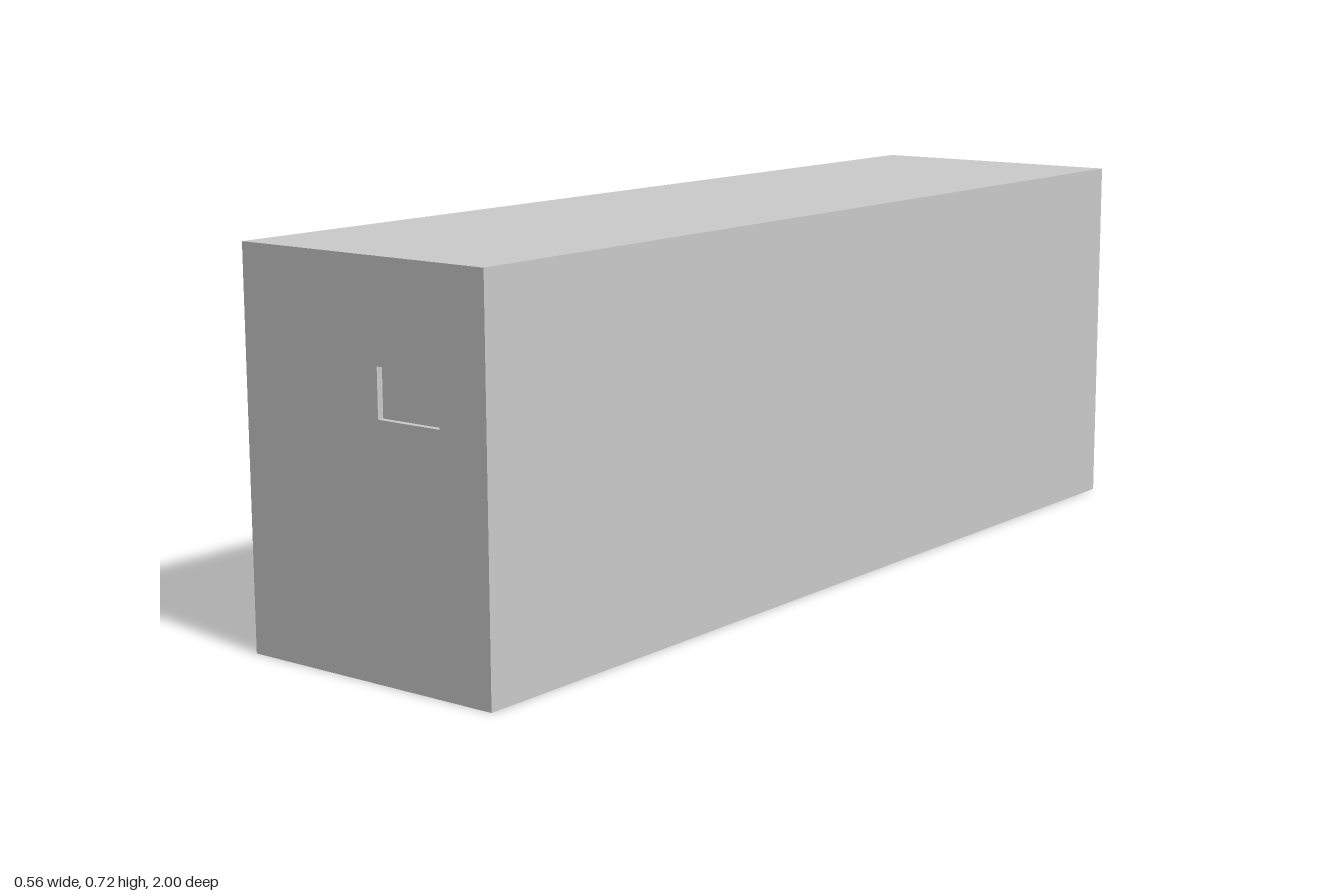
import * as THREE from 'three';

const material = new THREE.MeshStandardMaterial({ color: 0xcccccc, side: THREE.DoubleSide, flatShading: true });

// Main dimensions
const X0 = -0.267, X1 = 0.281, Z0 = -1, Z1 = 1, H = 0.72, T = 0.025;
const IX0 = X0 + T, IX1 = X1 - T, IZ0 = Z0 + T, IZ1 = Z1 - T, IH = H - T;
const PART0 = 0.5, PART1 = 0.525; // partition faces
const DOOR = [0.227, 0.45, 0.52]; // along z, height
const INNER_DOOR = [-0.105, 0.105, 0.52]; // along x, height
const WINDOW = [0.035, 0.188, 0.443, 0.547]; // x0, x1, y0, y1

const poly = (pts) => new THREE.Shape(pts.map(([x, y]) => new THREE.Vector2(x, y)));
const rect = (u0, u1, y0, y1) => poly([[u0, y0], [u1, y0], [u1, y1], [u0, y1]]);

// Wall elevation with an optional doorway notch
function elevation(u0, u1, h, door) {
  const notch = door ? [[door[0], 0], [door[0], door[2]], [door[1], door[2]], [door[1], 0]] : [];
  return poly([[u0, 0], ...notch, [u1, 0], [u1, h], [u0, h]]);
}

// Upside-down U around a doorway
function archway([u0, u1, h], w) {
  return poly([[u0, 0], [u0 + w, 0], [u0 + w, h - w], [u1 - w, h - w], [u1 - w, 0], [u1, 0], [u1, h], [u0, h]]);
}

export function createModel() {
  const model = new THREE.Group();

  const add = (name, geometry) => {
    const mesh = new THREE.Mesh(geometry, material);
    mesh.name = name;
    model.add(mesh);
    return mesh;
  };

  // Thin panels or solids drawn in elevation, set across z or across x
  const acrossZ = (name, shape, z, depth) => {
    const g = depth ? new THREE.ExtrudeGeometry(shape, { depth, bevelEnabled: false }) : new THREE.ShapeGeometry(shape);
    return add(name, g.translate(0, 0, z));
  };
  const acrossX = (name, shape, x, depth) => {
    const g = depth ? new THREE.ExtrudeGeometry(shape, { depth, bevelEnabled: false }) : new THREE.ShapeGeometry(shape);
    return add(name, g.rotateY(-Math.PI / 2).translate(x + (depth || 0), 0, 0));
  };
  const level = (name, x0, x1, z0, z1, y, up = true) => {
    const g = new THREE.PlaneGeometry(x1 - x0, z1 - z0).rotateX(up ? -Math.PI / 2 : Math.PI / 2);
    return add(name, g.translate((x0 + x1) / 2, y, (z0 + z1) / 2));
  };
  const withWindow = (shape) => {
    shape.holes.push(rect(...WINDOW));
    return shape;
  };

  // Outer skin, open below between the wall faces
  acrossZ('frontWall', withWindow(elevation(X0, X1, H)), Z1);
  acrossZ('backWall', elevation(X0, X1, H), Z0);
  acrossX('leftWall', elevation(Z0, Z1, H), X1);
  acrossX('rightWall', elevation(Z0, Z1, H, DOOR), X0);
  level('roof', X0, X1, Z0, Z1, H);

  // Inner lining of the two rooms
  for (const [room, z0, z1, door] of [['mainRoom', IZ0, PART0, DOOR], ['frontRoom', PART1, IZ1, null]]) {
    acrossX(room + 'LeftLining', elevation(z0, z1, IH), IX1);
    acrossX(room + 'RightLining', elevation(z0, z1, IH, door), IX0);
    level(room + 'Ceiling', IX0, IX1, z0, z1, IH, false);
    level(room + 'Floor', IX0, IX1, z0, z1, 0);
  }
  acrossZ('backLining', elevation(IX0, IX1, IH), IZ0);
  acrossZ('frontLining', withWindow(elevation(IX0, IX1, IH)), IZ1);
  for (const z of [PART0, PART1]) acrossZ('partition', elevation(IX0, IX1, IH, INNER_DOOR), z);

  // Thresholds and thin linings in both doorways
  level('doorThreshold', X0, IX0, DOOR[0], DOOR[1], 0);
  level('innerThreshold', INNER_DOOR[0], INNER_DOOR[1], PART0, PART1, 0);
  acrossX('doorLining', archway(DOOR, 0.002), X0, T);
  acrossZ('innerDoorLining', archway(INNER_DOOR, 0.002), PART0, T);

  // Casings on both faces of each doorway, overlapping the opening
  const lip = 0.007, casingWidth = 0.026, casingDepth = 0.016;
  const grow = ([a, b, h]) => [a - lip, b + lip, h + lip];
  for (const x of [X0 - casingDepth, IX0]) {
    acrossX('doorCasing', archway(grow(DOOR), casingWidth), x, casingDepth);
  }
  for (const z of [PART0 - casingDepth, PART1]) {
    acrossZ('innerDoorCasing', archway(grow(INNER_DOOR), casingWidth), z, casingDepth);
  }

  // Window frame flush with the front wall, pane set back
  const [wx0, wx1, wy0, wy1] = WINDOW, b = 0.008;
  const frame = rect(wx0, wx1, wy0, wy1);
  frame.holes.push(rect(wx0 + b, wx1 - b, wy0 + b, wy1 - b));
  acrossZ('windowFrame', frame, IZ1, T);
  acrossZ('windowPane', rect(wx0 + b, wx1 - b, wy0 + b, wy1 - b), 0.985, 0.003);

  return model;
}
